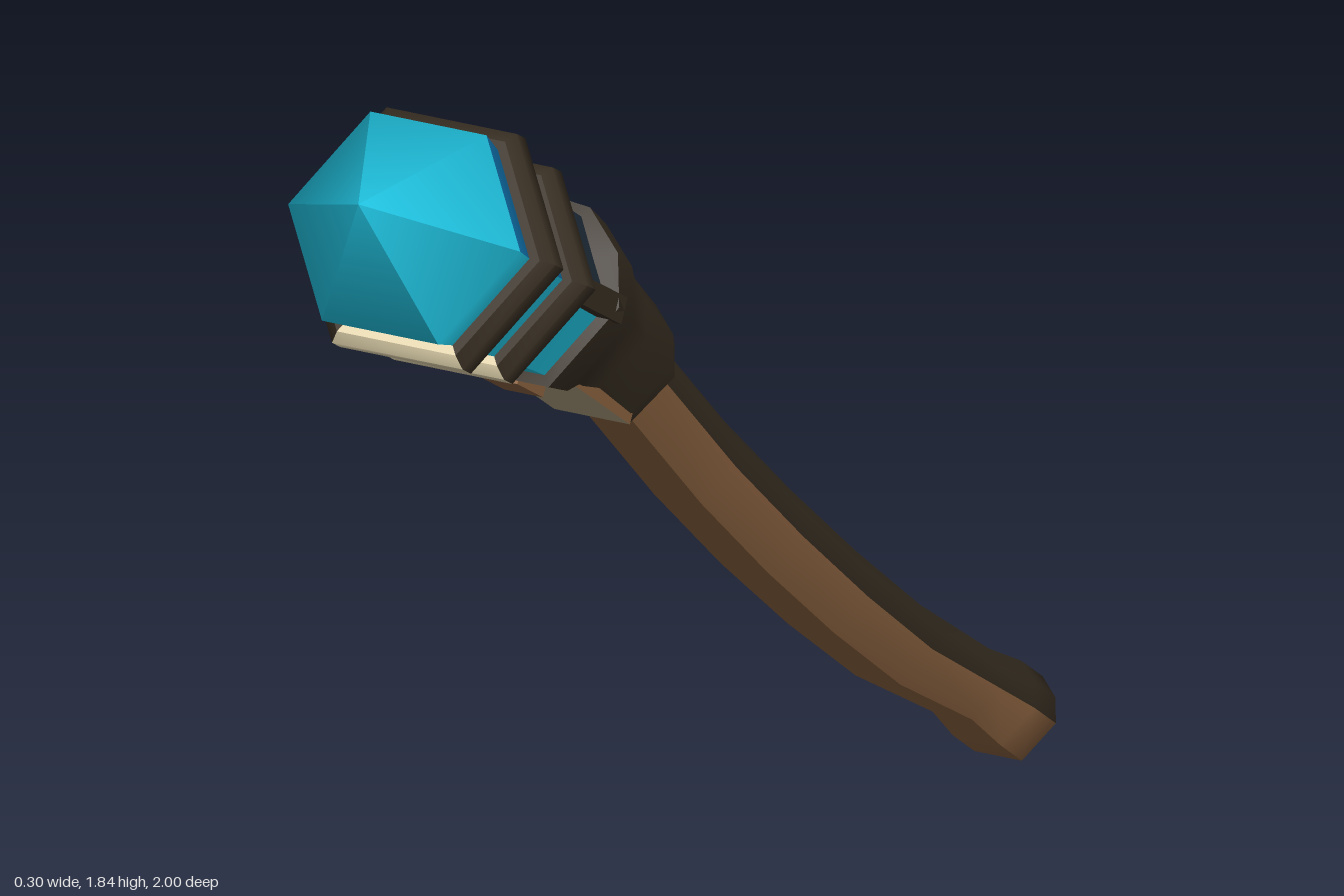
import * as THREE from 'three';
import { toCreasedNormals } from 'three/addons/utils/BufferGeometryUtils.js';

const mat = (name, color) => {
  const m = new THREE.MeshStandardMaterial({ color });
  m.name = name;
  return m;
};
const darkWood = mat('dark wood', 0x362d21);
const brownWood = mat('brown wood', 0x8c6340);
const paleBone = mat('pale bone', 0xe8dab2);
const greyBone = mat('grey bone', 0xb0a180);
const cyan = mat('bright crystal', 0x22cdec);
const blue = mat('deep crystal', 0x0d6499);
const navy = mat('shaded crystal', 0x1f2c39);

// The head runs along a straight axis; s is the distance from its base point
const TILT = 0.894, BASE_Y = 1.355, BASE_Z = 0.396;
const axis = new THREE.Vector3(0, Math.cos(TILT), Math.sin(TILT));
const under = new THREE.Vector3(0, -axis.z, axis.y);
const headRow = (s, r) => [BASE_Z + axis.z * s, BASE_Y + axis.y * s, r, axis];

// Cross-sections in degrees: sides 0 to 2 face under/front, the rest up/back
const HEXAGON = [0, 60, 120, 180, 240, 300];
const ROUND_BACK = [0, 60, 120, 180, 210, 240, 270, 300, 330];

// Loft through rows of [z, y, radius, optional direction]
function loft(name, rows, section, pick) {
  const sides = section.length;
  const rings = rows.map(([z, y, r, dir], k) => {
    const a = rows[Math.max(k - 1, 0)], b = rows[Math.min(k + 1, rows.length - 1)];
    const t = dir || new THREE.Vector3(0, b[1] - a[1], b[0] - a[0]).normalize();
    return section.map((deg) => {
      const ang = THREE.MathUtils.degToRad(deg);
      // the rounded back is no deeper than a hexagon's flat
      const u = THREE.MathUtils.clamp(Math.sin(ang), -0.92, 1) * r;
      return [Math.cos(ang) * r, y - t.z * u, z + t.y * u];
    });
  });
  const buckets = new Map();
  for (let k = 0; k + 1 < rows.length; k++) {
    for (let i = 0; i < sides; i++) {
      const j = (i + 1) % sides, m = pick(i, k);
      if (!buckets.has(m)) buckets.set(m, []);
      const out = buckets.get(m);
      const [p, q, p2, q2] = [rings[k][i], rings[k][j], rings[k + 1][i], rings[k + 1][j]];
      if (rows[k][2] > 0) out.push(...p, ...p2, ...q);
      if (rows[k + 1][2] > 0) out.push(...q, ...p2, ...q2);
    }
  }
  const geo = new THREE.BufferGeometry(), pos = [], mats = [];
  for (const [m, list] of buckets) {
    geo.addGroup(pos.length / 3, list.length / 3, mats.length);
    mats.push(m);
    for (const v of list) pos.push(v);
  }
  geo.setAttribute('position', new THREE.Float32BufferAttribute(pos, 3));
  const mesh = new THREE.Mesh(toCreasedNormals(geo, 0.8), mats);
  mesh.name = name;
  return mesh;
}

// Chamfered hexagonal band with a pale strip under its front edge
function band(name, s, r) {
  const rows = [[-0.03, 0.09], [-0.03, r - 0.014], [-0.016, r], [0.016, r], [0.03, r - 0.014], [0.03, 0.09]]
    .map(([d, q]) => headRow(s + d, q));
  return loft(name, rows, HEXAGON, (i, k) => (i === 1 && k > 1 ? paleBone : darkWood));
}

// Bar along the head, at offset x sideways, s along and u towards the underside
function bar(name, material, x, s, u, size, tilt = TILT) {
  const mesh = new THREE.Mesh(new THREE.BoxGeometry(...size), material);
  mesh.name = name;
  mesh.position.set(x, BASE_Y, BASE_Z).addScaledVector(axis, s).addScaledVector(under, u);
  mesh.rotation.x = tilt;
  return mesh;
}

export function createModel() {
  const model = new THREE.Group();
  model.name = 'crystalStaff';

  // Gently bent shaft with a knobbed foot
  model.add(loft('shaft', [
    [-0.985, 0.02, 0], [-0.983, 0.022, 0.03], [-0.965, 0.037, 0.055], [-0.9, 0.095, 0.055],
    [-0.82, 0.165, 0.046], [-0.6, 0.345, 0.052], [-0.4, 0.53, 0.054], [-0.2, 0.725, 0.055],
    [0, 0.93, 0.055], [0.26, 1.215, 0.055],
  ], ROUND_BACK, (i) => (i < 3 ? brownWood : darkWood)));

  // Flared cup
  model.add(loft('cup', [
    [0.225, 1.18, 0.052], [0.227, 1.182, 0.07], [0.25, 1.207, 0.077], [0.34, 1.3, 0.081],
    [0.396, 1.355, 0.09], headRow(0.07, 0.108), headRow(0.15, 0.116), headRow(0.155, 0.085),
  ], ROUND_BACK, () => darkWood));

  // Worn plate under the cup, ending in a brown tip
  const plateFaces = [brownWood, brownWood, brownWood, brownWood, greyBone, darkWood];
  model.add(bar('cupPlate', plateFaces, 0, -0.096, 0.072, [0.088, 0.22, 0.03], 0.847));
  model.add(bar('cupPlateTip', brownWood, 0, 0.1, 0.092, [0.045, 0.1, 0.024]));

  // Pointed crystal: deep on its back, bright underneath and at the tip
  const crystalRows = [[0.08, 0.1], [0.2, 0.104], [0.327, 0.11], [0.502, 0.122], [0.597, 0.135], [0.775, 0]];
  model.add(loft('crystal', crystalRows.map(([s, r]) => headRow(s, r)), HEXAGON,
    (i, k) => (k === 4 || i < 3 ? cyan : k < 2 ? navy : blue)));

  // Bands and prongs holding the crystal
  model.add(band('lowerBand', 0.327, 0.137), band('upperBand', 0.502, 0.152));
  model.add(bar('backProng', darkWood, 0, 0.22, -0.09, [0.07, 0.2, 0.024]));
  for (const side of [-1, 1]) {
    model.add(bar(side > 0 ? 'leftProng' : 'rightProng', darkWood, side * 0.1, 0.22, 0, [0.026, 0.2, 0.03]));
  }
  return model;
}
